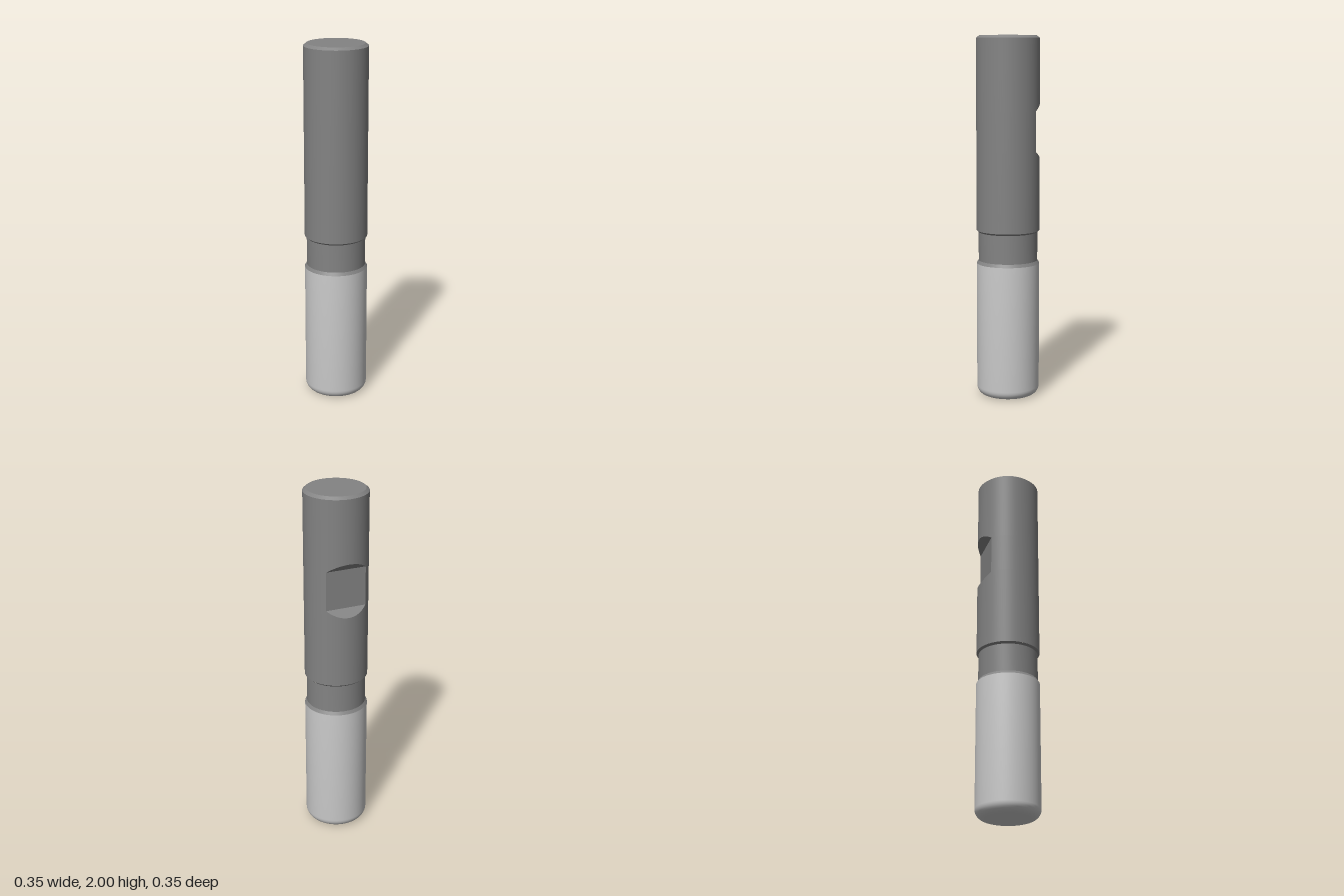
import * as THREE from 'three';
import { toCreasedNormals } from 'three/addons/utils/BufferGeometryUtils.js';

const R = 0.174;                          // shank and cutter radius
const FLAT = 0.132;                       // distance of the clamping flat from the axis
const BOTTOM = 0.935, TOP = 1.986;        // ends of the plain shank wall
const NOTCH_Y = 1.484, NOTCH_HALF = 0.151; // centre and half height of the notch at the surface
const EDGE = Math.acos(FLAT / R);         // half angle spanned by the flat

const dark = new THREE.MeshStandardMaterial({ color: 0x838383 });
const light = new THREE.MeshStandardMaterial({ color: 0xcccccc });

function addMesh(group, name, geometry, material) {
  const mesh = new THREE.Mesh(geometry, material);
  mesh.name = name;
  group.add(mesh);
}

function turned(points) {
  const profile = points.map(([x, y]) => new THREE.Vector2(x, y));
  return toCreasedNormals(new THREE.LatheGeometry(profile, 96), 0.5);
}

// Joins neighbouring columns of points into quads; keep(column, row) may skip one
function sheet(columns, keep = () => true) {
  const position = [];
  for (let i = 0; i + 1 < columns.length; i++) {
    const a = columns[i], b = columns[i + 1];
    for (let j = 0; j + 1 < a.length; j++) {
      if (!keep(i, j)) continue;
      position.push(...a[j], ...a[j + 1], ...b[j + 1], ...a[j], ...b[j + 1], ...b[j]);
    }
  }
  const geometry = new THREE.BufferGeometry();
  geometry.setAttribute('position', new THREE.Float32BufferAttribute(position, 3));
  geometry.computeVertexNormals();
  return geometry;
}

// Half height of the notch where its 45 degree ramps meet the wall at angle t from the back
const notchHalf = t => NOTCH_HALF - R * (1 - Math.cos(Math.min(Math.abs(t), EDGE)));

export function createModel() {
  const group = new THREE.Group();

  // Cutter body with a rounded lower corner
  const corner = 0.05, cutter = [[0, 0]];
  for (let i = 0; i <= 8; i++) {
    const a = (i / 8) * Math.PI / 2;
    cutter.push([R - corner + corner * Math.sin(a), corner - corner * Math.cos(a)]);
  }
  cutter.push([R, 0.75]);
  addMesh(group, 'cutterBody', turned(cutter), light);

  // Relieved neck with a chamfer at each end
  addMesh(group, 'neck', turned([[R, 0.75], [0.163, 0.767], [0.163, 0.925], [R, BOTTOM]]), dark);

  // Chamfered end of the shank
  addMesh(group, 'shankEnd', turned([[R, TOP], [0.157, 2], [0, 2]]), dark);

  // Shank wall, left open where the notch is cut
  const cut = 24, rest = 76, angles = [];
  for (let i = 0; i <= cut; i++) angles.push(-EDGE + 2 * EDGE * i / cut);
  for (let i = 1; i <= rest; i++) angles.push(EDGE + (2 * Math.PI - 2 * EDGE) * i / rest);
  const wall = sheet(angles.map((t, i) => {
    const x = R * Math.sin(t), z = -R * Math.cos(t), h = notchHalf(i <= cut ? t : EDGE);
    return [BOTTOM, NOTCH_Y - h, NOTCH_Y + h, TOP].map(y => [x, y, z]);
  }), (i, j) => i >= cut || j !== 1);
  const p = wall.attributes.position, n = wall.attributes.normal;
  for (let i = 0; i < p.count; i++) n.setXYZ(i, p.getX(i) / R, 0, p.getZ(i) / R);
  addMesh(group, 'shank', wall, dark);

  // Clamping flat and its two sloping ends
  const flatHalf = notchHalf(EDGE);
  const notch = sheet(angles.slice(0, cut + 1).map(t => {
    const x = R * Math.sin(t), z = -R * Math.cos(t), h = notchHalf(t);
    return [
      [x, NOTCH_Y - h, z], [x, NOTCH_Y - flatHalf, -FLAT],
      [x, NOTCH_Y + flatHalf, -FLAT], [x, NOTCH_Y + h, z],
    ];
  }));
  addMesh(group, 'clampingFlat', notch, dark);

  return group;
}
